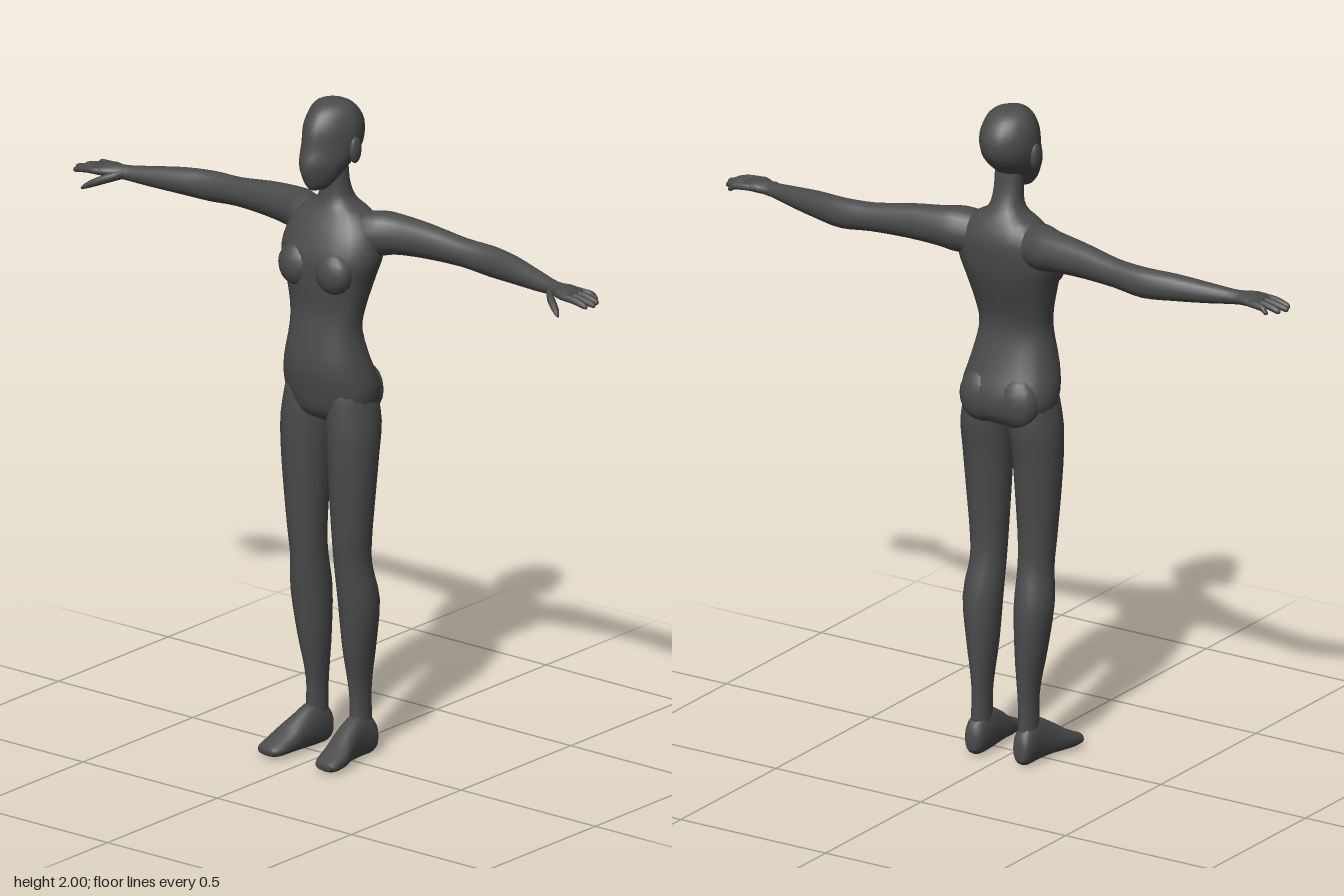
import * as THREE from 'three';

const skin = new THREE.MeshStandardMaterial({ color: 0x4b4b4b });
skin.name = 'dark grey';

// Skins a closed body through elliptical rings [t, centreU, centreV, radiusU, radiusV].
// Axes are (t,u,v): 'y' -> y,x,z   'x' -> x,z,y   'z' -> z,y,x
function loft(axis, rings, { sides = 16, steps = 3, power = 2, taper = 0 } = {}) {
  const at = (i) => rings[Math.min(Math.max(i, 0), rings.length - 1)];
  const fine = [];
  for (let i = 0; i < rings.length - 1; i++) {
    for (let s = 0; s < steps; s++) {
      const f = s / steps;
      fine.push(rings[i].map((p1, k) => {
        const p0 = at(i - 1)[k], p2 = at(i + 1)[k], p3 = at(i + 2)[k];
        return p1 + 0.5 * f * (p2 - p0 + f * (2 * p0 - 5 * p1 + 4 * p2 - p3 + f * (3 * (p1 - p2) + p3 - p0)));
      }));
    }
  }
  fine.push(at(rings.length));
  const close = (r) => [r[0], r[1], r[2], 0, 0];
  const all = [close(fine[0]), ...fine, close(fine[fine.length - 1])];
  const bend = (c) => Math.sign(c) * Math.pow(Math.abs(c), 2 / power);
  const pos = [], index = [];
  all.forEach(([t, cu, cv, ru, rv], i) => {
    for (let j = 0; j < sides; j++) {
      const a = (j / sides) * Math.PI * 2;
      const sin = bend(Math.sin(a));
      const u = cu + ru * bend(Math.cos(a)) * (1 - taper * Math.max(0, sin));
      const v = cv + rv * sin;
      pos.push(...(axis === 'y' ? [u, t, v] : axis === 'x' ? [t, v, u] : [v, u, t]));
      if (i === all.length - 1) continue;
      const p = i * sides + j, q = i * sides + (j + 1) % sides;
      index.push(p, p + sides, q, q, p + sides, q + sides);
    }
  });
  const g = new THREE.BufferGeometry();
  g.setAttribute('position', new THREE.Float32BufferAttribute(pos, 3));
  g.setIndex(index);
  g.computeVertexNormals();
  return g;
}

// Upright ring given by its height, half width, front z and back z
const slice = (y, w, front, back) => [y, 0, (front + back) / 2, w, (front - back) / 2];

function ellipsoid(x, y, z, rx, ry, rz) {
  return new THREE.SphereGeometry(1, 16, 10).scale(rx, ry, rz).translate(x, y, z);
}

// Reflected copy in x with its corner order put right
function mirrored(geometry) {
  const g = geometry.clone().scale(-1, 1, 1);
  const ix = g.index.array;
  for (let i = 0; i < ix.length; i += 3) [ix[i], ix[i + 1]] = [ix[i + 1], ix[i]];
  g.computeVertexNormals();
  return g;
}

export function createModel() {
  const model = new THREE.Group();
  model.name = 'figure';
  const add = (name, geometry) => {
    const m = new THREE.Mesh(geometry, skin);
    m.name = name;
    model.add(m);
  };
  const pair = (name, geometry) => {
    add('left' + name, geometry);
    add('right' + name, mirrored(geometry));
  };

  // Torso from crotch to neck
  add('torso', loft('y', [
    slice(1.03, 0.05, 0.02, -0.07),
    slice(1.06, 0.125, 0.062, -0.122),
    slice(1.13, 0.15, 0.082, -0.135),
    slice(1.21, 0.136, 0.094, -0.105),
    slice(1.31, 0.115, 0.082, -0.075),
    slice(1.38, 0.122, 0.074, -0.083),
    slice(1.47, 0.143, 0.082, -0.115),
    slice(1.54, 0.163, 0.08, -0.132),
    slice(1.61, 0.15, 0.053, -0.138),
    slice(1.66, 0.11, 0.022, -0.12),
    slice(1.695, 0.056, 0.006, -0.097),
    slice(1.75, 0.044, 0, -0.075),
    slice(1.83, 0.045, 0.005, -0.065),
  ], { sides: 24, power: 2.25 }));
  pair('Breast', ellipsoid(0.068, 1.5, 0.052, 0.062, 0.065, 0.044));
  pair('Buttock', ellipsoid(0.062, 1.115, -0.085, 0.07, 0.08, 0.05));

  // Head, narrowing towards the face
  add('head', loft('y', [
    slice(1.745, 0.025, 0.075, 0.01),
    slice(1.77, 0.048, 0.09, -0.02),
    slice(1.82, 0.073, 0.104, -0.088),
    slice(1.87, 0.084, 0.09, -0.128),
    slice(1.925, 0.084, 0.08, -0.13),
    slice(1.97, 0.068, 0.052, -0.102),
    slice(1.992, 0.042, 0.02, -0.068),
    slice(2, 0.012, -0.01, -0.035),
  ], { sides: 20, taper: 0.25 }));
  pair('Ear', ellipsoid(0.086, 1.86, -0.025, 0.012, 0.04, 0.024).rotateZ(0));

  // Arm and palm
  pair('Arm', loft('x', [
    [0.07, -0.05, 1.6, 0.06, 0.06],
    [0.14, -0.07, 1.605, 0.066, 0.068],
    [0.2, -0.088, 1.609, 0.053, 0.06],
    [0.3, -0.1, 1.607, 0.043, 0.052],
    [0.42, -0.112, 1.597, 0.037, 0.043],
    [0.52, -0.117, 1.59, 0.035, 0.046],
    [0.62, -0.1, 1.59, 0.036, 0.04],
    [0.72, -0.078, 1.587, 0.03, 0.03],
    [0.8, -0.06, 1.586, 0.025, 0.021],
    [0.85, -0.05, 1.588, 0.044, 0.019],
    [0.89, -0.05, 1.585, 0.047, 0.012],
  ]));

  // Fingers: z at knuckle, z at tip, x of tip
  [[-0.014, -0.016, 0.955], [-0.038, -0.04, 0.965], [-0.062, -0.067, 0.955], [-0.084, -0.094, 0.93]]
    .forEach(([z0, z1, tip], i) => pair('Finger' + (i + 1), loft('x', [
      [0.86, z0, 1.587, 0.011, 0.011],
      [0.91, (z0 + z1) / 2, 1.584, 0.011, 0.011],
      [tip - 0.008, z1, 1.575, 0.009, 0.009],
      [tip, z1, 1.573, 0.004, 0.004],
    ], { sides: 8, steps: 2 })));
  pair('Thumb', loft('x', [
    [0.79, -0.045, 1.585, 0.012, 0.012],
    [0.83, -0.006, 1.573, 0.017, 0.014],
    [0.87, 0.02, 1.555, 0.013, 0.011],
    [0.887, 0.032, 1.545, 0.005, 0.005],
  ], { sides: 8, steps: 2 }));

  // Leg from ankle to hip
  pair('Leg', loft('y', [
    [0.07, 0.082, -0.055, 0.028, 0.042],
    [0.18, 0.08, -0.055, 0.026, 0.04],
    [0.25, 0.08, -0.052, 0.031, 0.047],
    [0.34, 0.083, -0.046, 0.043, 0.058],
    [0.48, 0.088, -0.038, 0.057, 0.066],
    [0.59, 0.082, -0.02, 0.052, 0.06],
    [0.67, 0.083, -0.013, 0.055, 0.062],
    [0.8, 0.085, -0.012, 0.065, 0.07],
    [0.93, 0.086, -0.014, 0.073, 0.08],
    [1.03, 0.084, -0.02, 0.074, 0.09],
    [1.13, 0.078, -0.02, 0.06, 0.085],
  ]));

  // Foot from heel to toes
  pair('Foot', loft('z', [
    [-0.11, 0.045, 0.084, 0.025, 0.018],
    [-0.09, 0.058, 0.083, 0.055, 0.031],
    [-0.03, 0.068, 0.083, 0.066, 0.034],
    [0.03, 0.055, 0.09, 0.051, 0.039],
    [0.08, 0.038, 0.1, 0.034, 0.045],
    [0.13, 0.026, 0.106, 0.02, 0.041],
    [0.15, 0.026, 0.108, 0.011, 0.026],
  ], { power: 2.3 }));

  return model;
}
